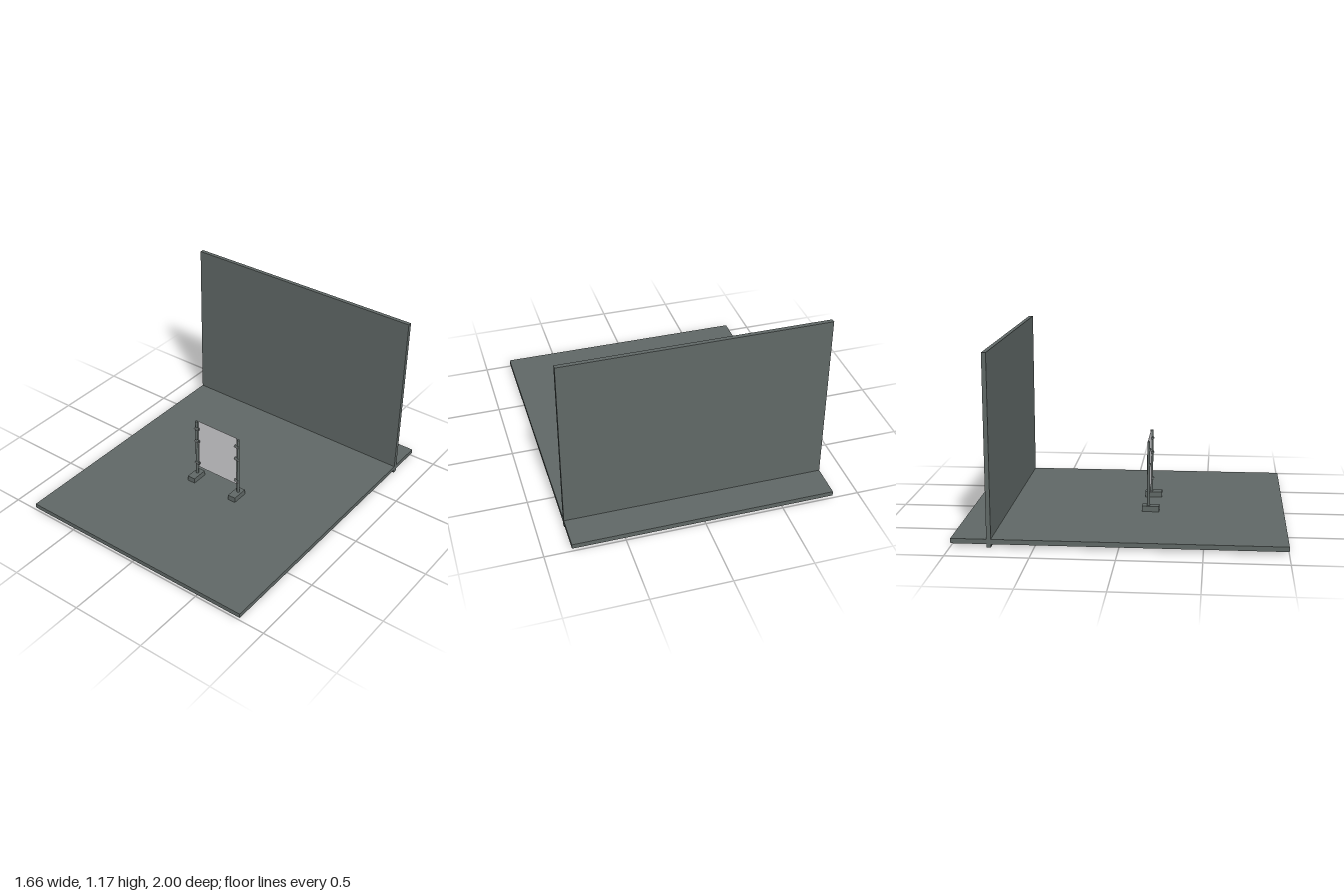
import * as THREE from 'three';

export function createModel() {
  const model = new THREE.Group();
  const slate = new THREE.MeshStandardMaterial({ color: 0x606866 });
  slate.name = 'slateGrey';
  const pale = new THREE.MeshStandardMaterial({ color: 0xd0d0d3 });
  pale.name = 'paleGrey';

  const add = (parent, name, geometry, material, x, y, z) => {
    const mesh = new THREE.Mesh(geometry, material);
    mesh.name = name;
    mesh.position.set(x, y, z);
    parent.add(mesh);
    return mesh;
  };
  const box = (w, h, d) => new THREE.BoxGeometry(w, h, d);

  // Ground slab and the wall that passes through it
  add(model, 'floor', box(1.66, 0.03, 2), slate, 0, 0.035, 0);
  add(model, 'wall', box(1.66, 1.167, 0.027), slate, 0, 0.5835, -0.77);

  // Thin panel hung between two posts
  add(model, 'panel', box(0.31, 0.37, 0.003), pale, 0, 0.325, 0.133);

  for (const side of [-1, 1]) {
    const stand = new THREE.Group();
    stand.name = side > 0 ? 'leftStand' : 'rightStand';
    model.add(stand);
    add(stand, 'foot', box(0.055, 0.036, 0.11), slate, side * 0.168, 0.068, 0.15);
    add(stand, 'post', new THREE.CylinderGeometry(0.009, 0.009, 0.42, 16), slate, side * 0.17, 0.295, 0.136);

    // Clamps gripping the panel edge
    for (const y of [0.45, 0.352, 0.175]) {
      const clamp = new THREE.Group();
      clamp.name = 'clamp';
      clamp.position.set(side * 0.164, y, 0.141);
      stand.add(clamp);
      const barrel = new THREE.CylinderGeometry(0.01, 0.01, 0.026, 12).rotateZ(Math.PI / 2);
      add(clamp, 'clampBarrel', barrel, slate, 0, 0, 0);
      add(clamp, 'clampJaw', box(0.012, 0.016, 0.012), slate, -side * 0.013, 0, -0.004);
      const pin = new THREE.CylinderGeometry(0.003, 0.003, 0.034, 8).rotateZ(Math.PI / 2);
      add(clamp, 'clampPin', pin, pale, 0, 0, 0.0085);
    }
  }
  return model;
}
